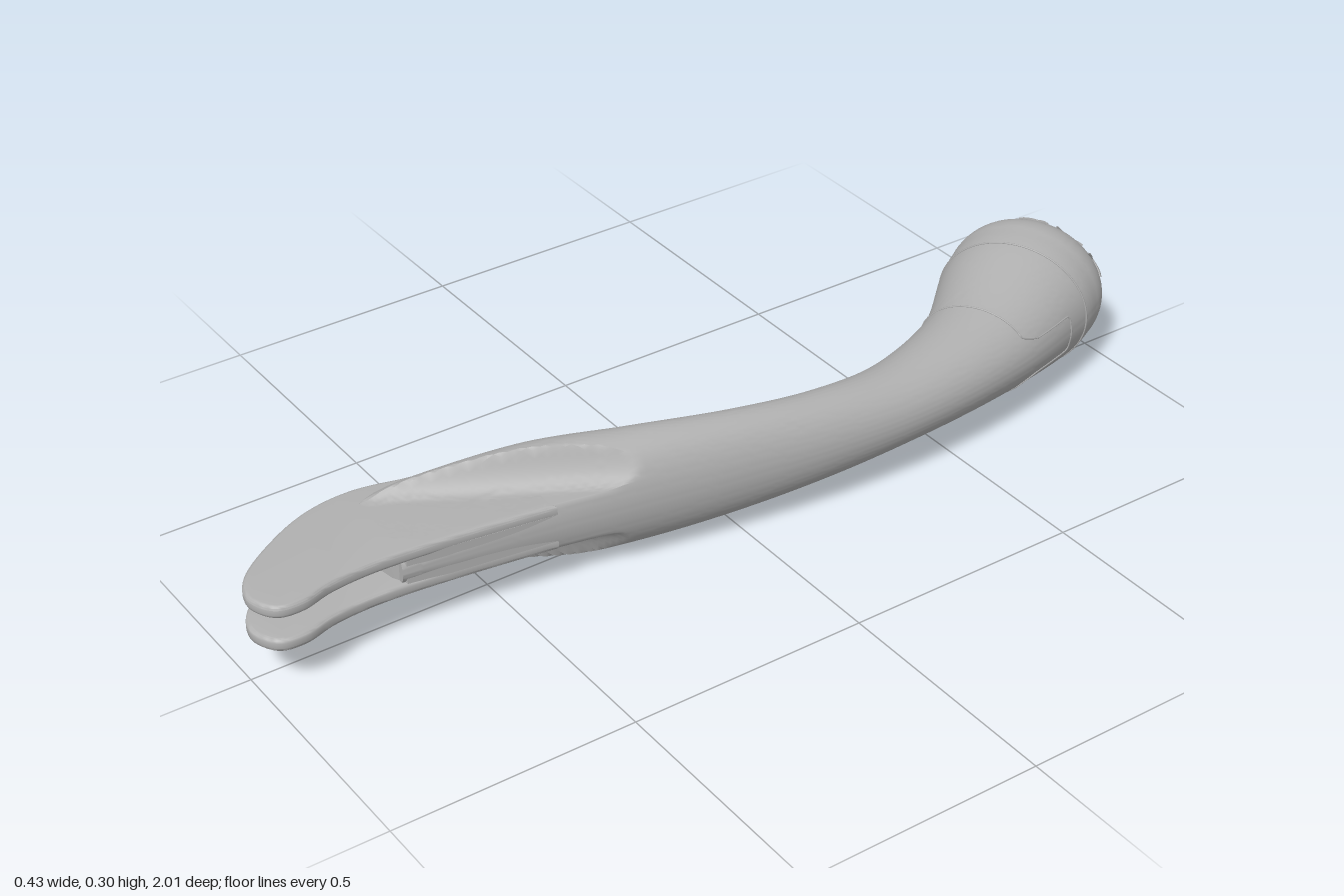
import * as THREE from 'three';
import { toCreasedNormals } from 'three/addons/utils/BufferGeometryUtils.js';

const MID = 0.15; // height of the symmetry plane

// Stations along the handle: x, z, turn angle, half width, half height
const stations = [
  [-0.052, 0.70, 0.08, 0.114, 0.062],
  [-0.040, 0.60, 0.15, 0.113, 0.092],
  [0.002, 0.40, 0.25, 0.100, 0.121],
  [0.060, 0.20, 0.26, 0.079, 0.121],
  [0.105, 0.00, 0.17, 0.070, 0.108],
  [0.128, -0.20, 0.03, 0.073, 0.092],
  [0.120, -0.40, -0.20, 0.088, 0.082],
  [0.065, -0.63, -0.50, 0.120, 0.099],
  [-0.025, -0.80, -0.52, 0.160, 0.139],
  [-0.065, -0.87, -0.52, 0.167, 0.148],
];
const LAST = stations.length - 1;
const spine = new THREE.CatmullRomCurve3(stations.map(s => new THREE.Vector3(s[0], s[1], s[2])), false, 'catmullrom');
const girth = new THREE.CatmullRomCurve3(stations.map(s => new THREE.Vector3(s[3], s[4], 0)), false, 'catmullrom');

// Height left by the scooped flats near the front
function flatLimit(x, z, radius) {
  const s = (x - 0.125) * 0.87 + (z - 0.28) * 0.49 + radius;
  return s >= radius ? 0.05 : 0.05 + 0.09 * (1 - s / radius) ** 2;
}

// Point on the handle skin: t runs along the stations, then 1 more over the dome
function skin(t, a, lift = 0) {
  const u = Math.min(t, LAST) / LAST;
  const c = spine.getPoint(u), g = girth.getPoint(u);
  let k = 1, push = 0;
  if (t > LAST) {
    const phi = (t - LAST) * Math.PI / 2;
    k = Math.max(Math.cos(phi), 0.0005) ** 0.85;
    push = (0.115 + lift) * Math.sin(phi) ** 0.85;
  }
  const side = Math.cos(a) * (g.x + lift) * k;
  let dy = Math.sin(a) * (g.y + lift) * k;
  const x = c.x + side * Math.cos(c.z) + push * Math.sin(c.z);
  const z = c.y + side * Math.sin(c.z) - push * Math.cos(c.z);
  if (z > 0.1) dy = Math.sign(dy) * Math.min(Math.abs(dy), flatLimit(x, z, dy > 0 ? 0.06 : 0.045));
  return new THREE.Vector3(x, MID + dy, z);
}

function handleGeometry() {
  const rows = 180, cols = 96, pos = [], index = [];
  for (let i = 0; i <= rows; i++)
    for (let j = 0; j < cols; j++) pos.push(...skin((LAST + 1) * i / rows, j / cols * Math.PI * 2).toArray());
  for (let i = 0; i < rows; i++)
    for (let j = 0; j < cols; j++) {
      const n = (j + 1) % cols, a = i * cols + j, b = i * cols + n;
      index.push(a, a + cols, b, b, a + cols, b + cols);
    }
  // front end cap
  const centre = pos.length / 3;
  pos.push(stations[0][0], MID, stations[0][1]);
  for (let j = 0; j < cols; j++) index.push(centre, j, (j + 1) % cols);
  const geo = new THREE.BufferGeometry();
  geo.setAttribute('position', new THREE.Float32BufferAttribute(pos, 3));
  geo.setIndex(index);
  return toCreasedNormals(geo, 0.5);
}

// Slab lying flat between two heights, from a list of x, z points
function slab(points, y0, y1, bevel, smooth) {
  let pts = points.map(p => new THREE.Vector2(p[0], -p[1]));
  if (smooth) pts = new THREE.SplineCurve([...pts, pts[0]]).getPoints(80).slice(0, -1);
  const geo = new THREE.ExtrudeGeometry(new THREE.Shape(pts), {
    depth: y1 - y0 - 2 * bevel, bevelEnabled: bevel > 0, bevelThickness: bevel,
    bevelSize: bevel, bevelOffset: -bevel, bevelSegments: 3,
  });
  geo.rotateX(-Math.PI / 2).translate(0, y0 + bevel, 0);
  return toCreasedNormals(geo, 0.6);
}

export function createModel() {
  const model = new THREE.Group();
  const grey = new THREE.MeshStandardMaterial({ color: 0xb0b0b0 });
  grey.name = 'plainGrey';
  const add = (name, geo, parent = model) => {
    const mesh = new THREE.Mesh(geo, grey);
    mesh.name = name;
    parent.add(mesh);
  };

  add('handleBody', handleGeometry());

  // Two fork plates with a slot between them
  const plate = [[0.1, 0.4], [0.073, 0.6], [0.06, 0.75], [0.066, 0.85], [0.085, 0.92], [0.075, 0.975], [0.02, 1],
    [-0.04, 0.975], [-0.1, 0.9], [-0.152, 0.8], [-0.168, 0.7], [-0.15, 0.6], [-0.09, 0.42]];
  add('upperForkPlate', slab(plate, 0.173, 0.2, 0.008, true));
  add('lowerForkPlate', slab(plate, 0.1, 0.127, 0.008, true));

  // Solid core behind the slot, with a web along one side
  add('slotCore', slab([[0.1, 0.4], [0.073, 0.6], [0.06, 0.7], [0.03, 0.715], [-0.03, 0.725], [-0.055, 0.75],
    [-0.055, 0.91], [-0.092, 0.91], [-0.15, 0.8], [-0.166, 0.7], [-0.149, 0.6], [-0.089, 0.42]], 0.12, 0.18, 0, false));

  // Raised rim under the lower plate
  add('lowerRim', slab([[-0.045, 0.94], [-0.1, 0.895], [-0.15, 0.8], [-0.163, 0.7], [-0.148, 0.6],
    [-0.125, 0.6], [-0.135, 0.7], [-0.125, 0.79], [-0.08, 0.875], [-0.045, 0.91]], 0.08, 0.108, 0.005, false));

  // Fine seam lines that hug the skin; each point is (t, angle)
  const seam = (name, points, radius, closed, parent) => {
    const curve = new THREE.CatmullRomCurve3(points.map(p => skin(p[0], p[1], 0.0005)), closed, 'catmullrom', 0.4);
    add(name, new THREE.TubeGeometry(curve, points.length * 2, radius, 5, closed), parent);
  };
  const sweep = (t, from, to, n) => Array.from({ length: n + 1 }, (_, i) => [t, from + (to - from) * i / n]);
  seam('collarSeam', [...sweep(7, 0.6, Math.PI * 2 - 0.6, 50), [7.12, -0.45], [7.2, -0.4], [7.45, -0.36], [7.66, -0.33],
    [7.7, -0.25], [7.7, 0], [7.7, 0.25], [7.66, 0.33], [7.45, 0.36], [7.2, 0.4], [7.12, 0.45]], 0.002, true);
  seam('capSeam', sweep(8.1, 0, Math.PI * 2, 64).slice(0, -1), 0.002, true);

  // Honeycomb relief on the rounded end, drawn in flat polar coordinates
  const pattern = new THREE.Group();
  pattern.name = 'honeycombRelief';
  model.add(pattern);
  const onDome = (x, y) => {
    const rho = Math.min(Math.hypot(x, y), 0.999);
    return [LAST + Math.acos(rho ** (1 / 0.85)) / (Math.PI / 2), Math.atan2(y, x)];
  };
  const relief = corners => {
    const pts = [];
    for (let i = 0; i + 1 < corners.length; i++)
      for (let k = 0; k < 5; k++) {
        const [p, q] = [corners[i], corners[i + 1]], f = k / 5;
        pts.push(onDome(p[0] + (q[0] - p[0]) * f, p[1] + (q[1] - p[1]) * f));
      }
    pts.push(onDome(...corners[corners.length - 1]));
    seam('reliefLine', pts, 0.0035, false, pattern);
  };
  const polar = (r, a) => [r * Math.cos(a), r * Math.sin(a)];
  for (const r of [0.36, 0.46]) relief(Array.from({ length: 7 }, (_, i) => polar(r, i * Math.PI / 3)));
  for (let i = 0; i < 6; i++) {
    const a = i * Math.PI / 3, m = a + Math.PI / 6;
    relief([polar(0.46, a), polar(0.72, a)]);
    relief([polar(0.9, m - 0.28), polar(0.72, a + 0.06), polar(0.58, a + 0.16), polar(0.54, m),
      polar(0.58, a + Math.PI / 3 - 0.16), polar(0.72, a + Math.PI / 3 - 0.06), polar(0.9, m + 0.28)]);
    relief([polar(0.97, m - 0.2), polar(0.85, m), polar(0.97, m + 0.2)]);
  }
  return model;
}
